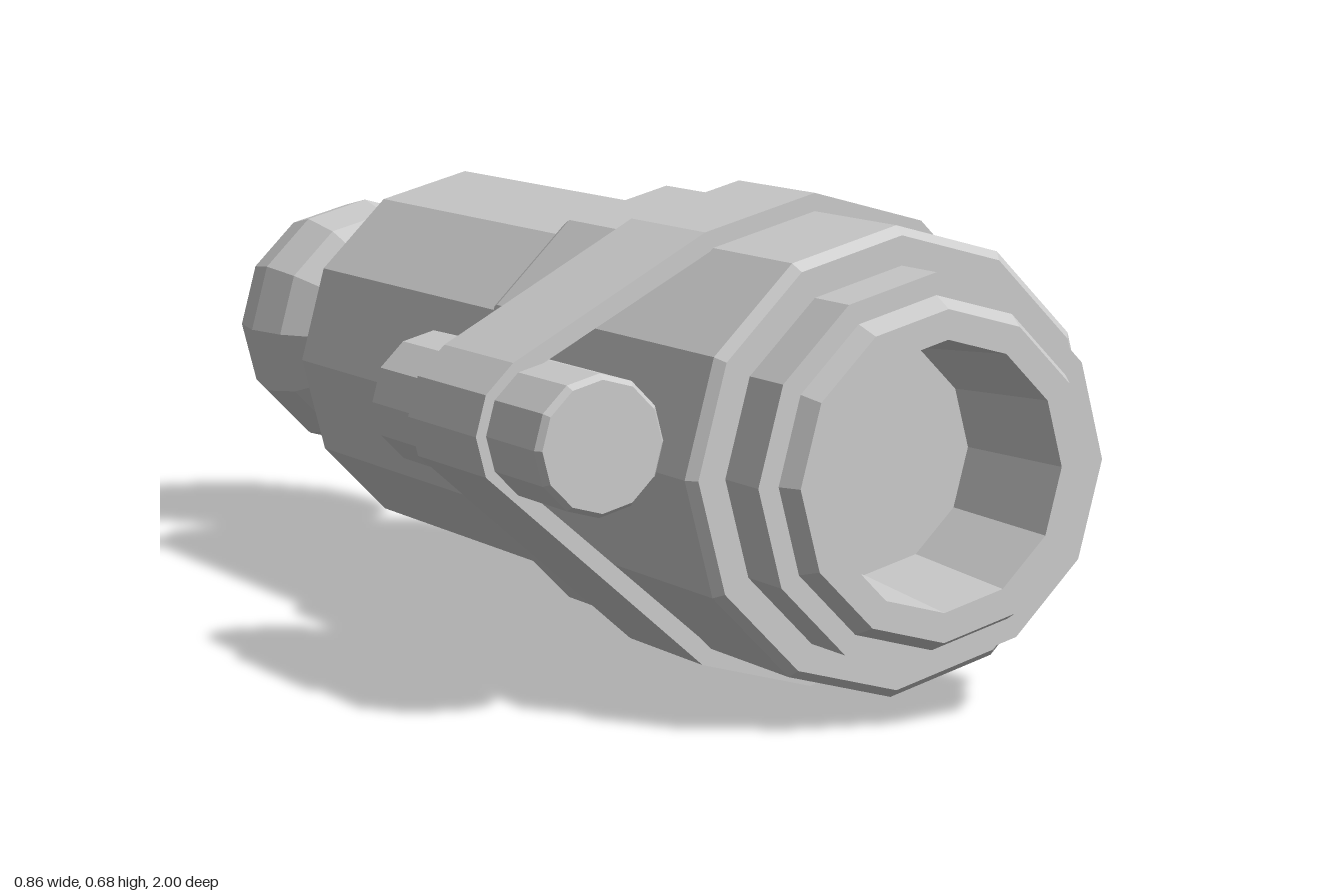
import * as THREE from 'three';

const SIDES = 12;
const AXIS = { x: 0.085, y: 0.345 };    // main barrel axis
const PIN = { x: -0.32, y: 0.387 };     // small side tube axis

export function createModel() {
  const group = new THREE.Group();
  const material = new THREE.MeshStandardMaterial({ color: 0xcccccc, flatShading: true });

  function add(name, geometry, x = 0, y = 0, z = 0) {
    const mesh = new THREE.Mesh(geometry, material);
    mesh.name = name;
    mesh.position.set(x, y, z);
    group.add(mesh);
  }

  // Turned part along z; profile is [radius, z] from back to front
  function turned(name, profile, axis) {
    const points = profile.map(([r, z]) => new THREE.Vector2(r, z));
    add(name, new THREE.LatheGeometry(points, SIDES).rotateX(Math.PI / 2), axis.x, axis.y);
  }

  // Slimmer rear barrel with chamfered end and collar
  turned('rearBarrel', [
    [0, -0.47], [0.21, -0.47], [0.21, -0.44], [0.225, -0.44],
    [0.285, -0.415], [0.285, 0.21],
  ], AXIS);

  // Wider front barrel with stepped, hollow socket
  turned('frontBarrel', [
    [0.285, 0.21], [0.307, 0.22], [0.317, 0.245], [0.317, 0.87], [0.305, 0.885],
    [0.265, 0.885], [0.265, 0.97], [0.235, 0.97], [0.22, 1],
    [0.18, 1], [0.163, 0.8], [0, 0.8],
  ], AXIS);

  // Ball joint on a short neck
  turned('neck', [[0.113, -0.64], [0.113, -0.47]], AXIS);
  add('ball', new THREE.SphereGeometry(0.207, SIDES, 8).rotateX(Math.PI / 2), AXIS.x, AXIS.y, -0.793);

  // Side tube, recessed at the back and closed at the front
  turned('sideTube', [
    [0, 0.42], [0.06, 0.42], [0.06, 0.3], [0.088, 0.3], [0.095, 0.308],
    [0.095, 0.8], [0.088, 0.81], [0, 0.81],
  ], PIN);

  // Strap around barrel and side tube
  function strapLoop(bigRadius, smallRadius) {
    const points = [];
    const arc = (c, r, from, to) => {
      for (let a = from; a <= to; a += 30) {
        const t = THREE.MathUtils.degToRad(a);
        points.push(new THREE.Vector2(c.x + r * Math.cos(t), c.y + r * Math.sin(t)));
      }
    };
    arc(AXIS, bigRadius, -120, 120);
    arc(PIN, smallRadius, 120, 210);
    return points;
  }
  const strap = new THREE.Shape(strapLoop(0.342, 0.11));
  strap.holes.push(new THREE.Path(strapLoop(0.315, 0.086)));
  add('strap', new THREE.ExtrudeGeometry(strap, { depth: 0.207, bevelEnabled: false }), 0, 0, 0.455);

  return group;
}
